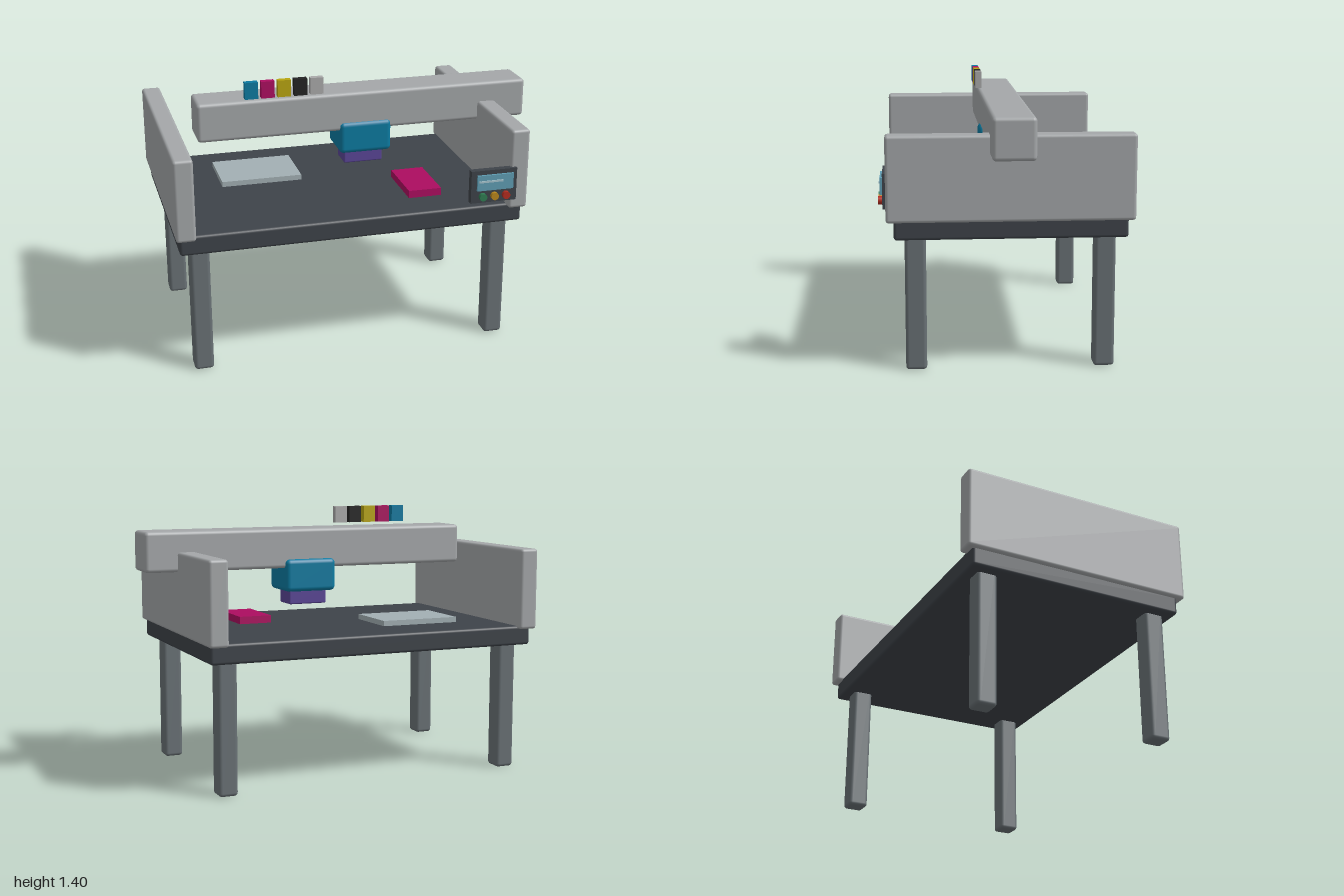
import * as THREE from 'three';
import { RoundedBoxGeometry } from 'three/addons/geometries/RoundedBoxGeometry.js';

const paint = (color) => new THREE.MeshStandardMaterial({ color });
const lightGrey = paint(0xa4a7a9);
const darkGrey = paint(0x3e4349);
const legGrey = paint(0x697175);
const cyan = paint(0x0b7aa0);
const magenta = paint(0xac0d60);
const yellow = paint(0xb8a510);
const black = paint(0x232323);
const silver = paint(0xaaaaaa);

export function createModel() {
  const model = new THREE.Group();

  // A box given by its extents on each axis; a radius rounds its edges
  function box(name, material, [x0, x1], [y0, y1], [z0, z1], radius = 0, parent = model) {
    const size = [x1 - x0, y1 - y0, z1 - z0];
    const geometry = radius
      ? new RoundedBoxGeometry(...size, 3, radius)
      : new THREE.BoxGeometry(...size);
    const mesh = new THREE.Mesh(geometry, material);
    mesh.name = name;
    mesh.position.set((x0 + x1) / 2, (y0 + y1) / 2, (z0 + z1) / 2);
    parent.add(mesh);
    return mesh;
  }

  // Table and legs
  box('tableTop', darkGrey, [-0.98, 0.815], [0.675, 0.778], [-0.593, 0.557], 0.015);
  for (const [side, x] of [['right', -0.925], ['left', 0.66]]) {
    for (const [end, z] of [['Front', 0.4], ['Back', -0.54]]) {
      box(`${side}${end}Leg`, legGrey, [x, x + 0.1], [0, 0.69], [z, z + 0.105], 0.018);
    }
  }

  // Upright side panels and the gantry beam across them
  box('rightSidePanel', lightGrey, [-1, -0.9], [0.763, 1.19], [-0.627, 0.595], 0.016);
  box('leftSidePanel', lightGrey, [0.73, 0.83], [0.763, 1.19], [-0.627, 0.595], 0.016);
  box('gantryBeam', lightGrey, [-0.8, 1], [1.088, 1.297], [-0.122, 0.09], 0.02);

  // Print carriage with its nozzle block
  box('carriage', cyan, [-0.043, 0.24], [0.962, 1.135], [-0.143, 0.103], 0.025);
  box('nozzleBlock', paint(0x5a4596), [-0.008, 0.204], [0.89, 0.966], [-0.09, 0.05], 0.008);

  // Row of ink cartridges above the beam
  const cartridges = new THREE.Group();
  cartridges.name = 'inkCartridges';
  model.add(cartridges);
  [cyan, magenta, yellow, black, silver].forEach((ink, i) => {
    const x = -0.516 + i * 0.0867;
    box(`inkCartridge${i + 1}`, ink, [x - 0.035, x + 0.035], [1.311, 1.4], [0.074, 0.108], 0, cartridges);
  });

  // Workpieces on the table
  box('sheet', paint(0xa2afb3), [-0.66, -0.225], [0.784, 0.812], [-0.36, -0.04]);
  box('magentaBlock', magenta, [0.262, 0.44], [0.78, 0.82], [0.04, 0.36]);

  // Control panel with screen, status line and buttons
  const control = new THREE.Group();
  control.name = 'controlPanel';
  model.add(control);
  box('controlHousing', darkGrey, [0.513, 0.76], [0.82, 0.995], [0.575, 0.61], 0, control);
  box('screen', paint(0x5f9db3), [0.543, 0.738], [0.889, 0.972], [0.6, 0.622], 0, control);
  box('statusLine', paint(0xa5c4ce), [0.55, 0.68], [0.934, 0.944], [0.615, 0.627], 0, control);
  [0x2f7d52, 0xb9861c, 0xb32d20].forEach((color, i) => {
    const button = new THREE.Mesh(new THREE.CylinderGeometry(0.02, 0.02, 0.03, 20), paint(color));
    button.name = `button${i + 1}`;
    button.rotation.x = Math.PI / 2;
    button.position.set(0.575 + i * 0.063, 0.855, 0.616);
    control.add(button);
  });

  return model;
}
